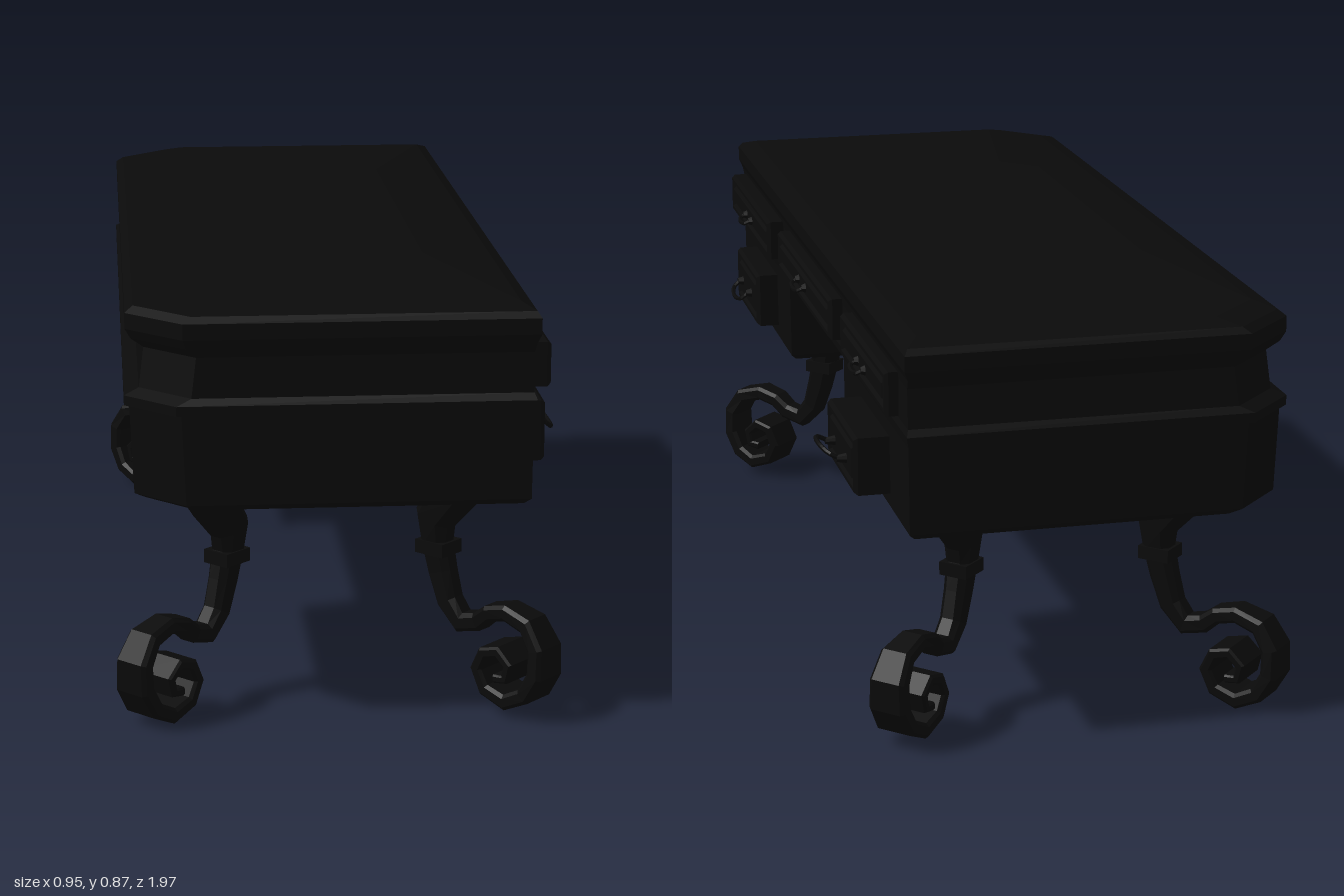
import * as THREE from 'three';

const material = new THREE.MeshStandardMaterial({ color: 0x0a0a0a, flatShading: true });
const V = (x, y, z) => new THREE.Vector3(x, y, z);

function mesh(geometry, name) {
  const m = new THREE.Mesh(geometry, material);
  m.name = name;
  return m;
}

// Closed solid through matching rings of points, with fan caps.
function loft(rings) {
  const tris = [], n = rings[0].length, last = rings.length - 1;
  for (let i = 0; i < last; i++) {
    for (let j = 0; j < n; j++) {
      const k = (j + 1) % n, [a, b, c, d] = [rings[i][j], rings[i][k], rings[i + 1][k], rings[i + 1][j]];
      tris.push([a, b, c], [a, c, d]);
    }
  }
  for (let j = 1; j < n - 1; j++) {
    tris.push([rings[0][0], rings[0][j + 1], rings[0][j]]);
    tris.push([rings[last][0], rings[last][j], rings[last][j + 1]]);
  }
  // turn the faces outward whatever the ring direction
  let volume = 0;
  for (const [a, b, c] of tris) volume += a.dot(b.clone().cross(c));
  const points = tris.flatMap(([a, b, c]) => (volume < 0 ? [a, c, b] : [a, b, c]));
  const g = new THREE.BufferGeometry().setFromPoints(points);
  g.computeVertexNormals();
  return g;
}

// Horizontal outline with the back corners cut off.
const outline = (y, back, front, z, cut) => [
  V(front, y, z), V(front, y, -z), V(back + cut, y, -z),
  V(back, y, -z + cut), V(back, y, z - cut), V(back + cut, y, z),
];

// Pedestal outline: only the outer back corner is cut.
const pedestalRing = (s, y, back, front, inner, outer) => [
  V(front, y, s * inner), V(front, y, s * outer), V(back + 0.1, y, s * outer),
  V(back, y, s * (outer - 0.1)), V(back, y, s * inner),
];

// Upright rectangle facing the drawer side.
const rect = (x, y0, y1, z0, z1) => [V(x, y0, z0), V(x, y1, z0), V(x, y1, z1), V(x, y0, z1)];

// Drawer front: bevelled outer frame, sunk groove and raised centre panel.
function drawerFront(y0, y1, z0, z1, x) {
  const r = (px, e) => rect(px, y0 + e, y1 - e, z0 + e, z1 - e);
  return loft([r(0.33, 0), r(x - 0.008, 0), r(x, 0.006), r(x, 0.014), r(x - 0.008, 0.02), r(x - 0.008, 0.024), r(x, 0.03)]);
}

// Bail pull: two posts with a bent bar.
function pull(x, y, z, half, reach, drop) {
  const g = new THREE.Group();
  const path = new THREE.CatmullRomCurve3([
    V(x + reach * 0.3, y, z - half), V(x + reach * 0.75, y + drop * 0.6, z - half * 0.95),
    V(x + reach, y + drop, z - half * 0.5), V(x + reach, y + drop, z + half * 0.5),
    V(x + reach * 0.75, y + drop * 0.6, z + half * 0.95), V(x + reach * 0.3, y, z + half),
  ]);
  g.add(mesh(new THREE.TubeGeometry(path, 16, 0.005, 6), 'pullBar'));
  for (const s of [-1, 1]) {
    const post = mesh(new THREE.CylinderGeometry(0.007, 0.011, reach * 0.5, 8), 'pullPost');
    post.rotation.z = -Math.PI / 2;
    post.position.set(x + reach * 0.2, y, z + s * half);
    g.add(post);
  }
  g.name = 'drawerPull';
  return g;
}

// Leg centre line: outward distance, height, thickness, width.
const legPath = [
  [0.02, 0.48, 0.11, 0.075], [-0.015, 0.43, 0.105, 0.07], [-0.065, 0.36, 0.085, 0.065],
  [-0.06, 0.31, 0.062, 0.055], [-0.045, 0.25, 0.058, 0.05], [-0.025, 0.19, 0.05, 0.048],
  [0.01, 0.152, 0.045, 0.048], [0.055, 0.163, 0.038, 0.05], [0.085, 0.188, 0.034, 0.055],
  [0.13, 0.2, 0.034, 0.06], [0.185, 0.185, 0.036, 0.07], [0.215, 0.14, 0.036, 0.08],
  [0.215, 0.085, 0.036, 0.085], [0.19, 0.04, 0.034, 0.09], [0.145, 0.018, 0.033, 0.095],
  [0.095, 0.035, 0.03, 0.095], [0.075, 0.075, 0.028, 0.095], [0.092, 0.112, 0.026, 0.095],
  [0.128, 0.122, 0.024, 0.095], [0.155, 0.098, 0.022, 0.095], [0.148, 0.068, 0.02, 0.095],
  [0.122, 0.065, 0.018, 0.095],
];

// Bevelled strip swept along the leg path, curling into a scroll foot.
function legGeometry() {
  const rings = legPath.map(([u, y, t, w], i) => {
    const a = legPath[Math.max(i - 1, 0)], b = legPath[Math.min(i + 1, legPath.length - 1)];
    const dir = new THREE.Vector2(b[0] - a[0], b[1] - a[1]).normalize();
    const bevel = t * 0.22, h = t / 2, k = w / 2;
    return [[h, k - bevel], [h - bevel, k], [bevel - h, k], [-h, k - bevel],
      [-h, bevel - k], [bevel - h, -k], [h - bevel, -k], [h, bevel - k]]
      .map(([n, side]) => V(u - dir.y * n, y + dir.x * n, side));
  });
  return loft(rings);
}

export function createModel() {
  const desk = new THREE.Group();
  desk.name = 'desk';

  // Upper case with waist moulding, flared cornice and slightly domed top
  desk.add(mesh(loft([
    outline(0.655, -0.44, 0.35, 0.968, 0.1),
    outline(0.655, -0.45, 0.352, 0.978, 0.1),
    outline(0.675, -0.45, 0.355, 0.978, 0.1),
    outline(0.688, -0.42, 0.35, 0.966, 0.1),
    outline(0.768, -0.41, 0.35, 0.96, 0.1),
    outline(0.788, -0.435, 0.352, 0.976, 0.105),
    outline(0.808, -0.446, 0.36, 0.985, 0.11),
    outline(0.84, -0.446, 0.36, 0.985, 0.11),
    outline(0.852, -0.43, 0.352, 0.972, 0.11),
    outline(0.864, -0.39, 0.325, 0.93, 0.11),
    outline(0.875, -0.28, 0.18, 0.5, 0.08),
  ]), 'topCase'));

  // Pedestals either side of the open kneehole
  for (const s of [-1, 1]) {
    desk.add(mesh(loft([
      pedestalRing(s, 0.458, -0.41, 0.335, 0.345, 0.95),
      pedestalRing(s, 0.472, -0.432, 0.348, 0.326, 0.968),
      pedestalRing(s, 0.66, -0.44, 0.35, 0.326, 0.968),
    ]), 'pedestal'));
  }

  // Drawers: y range, z range, face x, then pull y, half width, reach, drop
  const drawers = [
    [0.69, 0.78, 0.4, 0.93, 0.388, 0.73, 0.035, 0.02, -0.008],
    [0.69, 0.78, -0.32, 0.31, 0.38, 0.735, 0.04, 0.02, -0.008],
    [0.69, 0.78, -0.88, -0.43, 0.378, 0.73, 0.035, 0.02, -0.008],
    [0.5, 0.625, 0.5, 0.79, 0.4, 0.562, 0.06, 0.03, -0.02],
    [0.5, 0.62, -0.79, -0.51, 0.422, 0.555, 0.06, 0.045, 0.018],
  ];
  for (const [y0, y1, z0, z1, x, py, half, reach, drop] of drawers) {
    desk.add(mesh(drawerFront(y0, y1, z0, z1, x), 'drawerFront'));
    desk.add(pull(x, py, (z0 + z1) / 2, half, reach, drop));
  }

  // Scroll legs, each pointing out towards its corner
  const geometry = legGeometry();
  const legs = [[0.23, 0.8, 0.015], [0.23, -0.775, 0.012], [-0.285, 0.785, 0], [-0.285, -0.75, 0]];
  for (const [x, z, y] of legs) {
    const leg = new THREE.Group();
    leg.name = 'leg';
    leg.position.set(x, y, z);
    leg.rotation.y = Math.atan2(-Math.sign(z), Math.sign(x));
    leg.add(mesh(geometry, 'scrollLeg'));
    const collar = mesh(new THREE.BoxGeometry(0.07, 0.028, 0.064), 'legCollar');
    collar.position.set(-0.058, 0.3, 0);
    leg.add(collar);
    desk.add(leg);
  }
  return desk;
}
